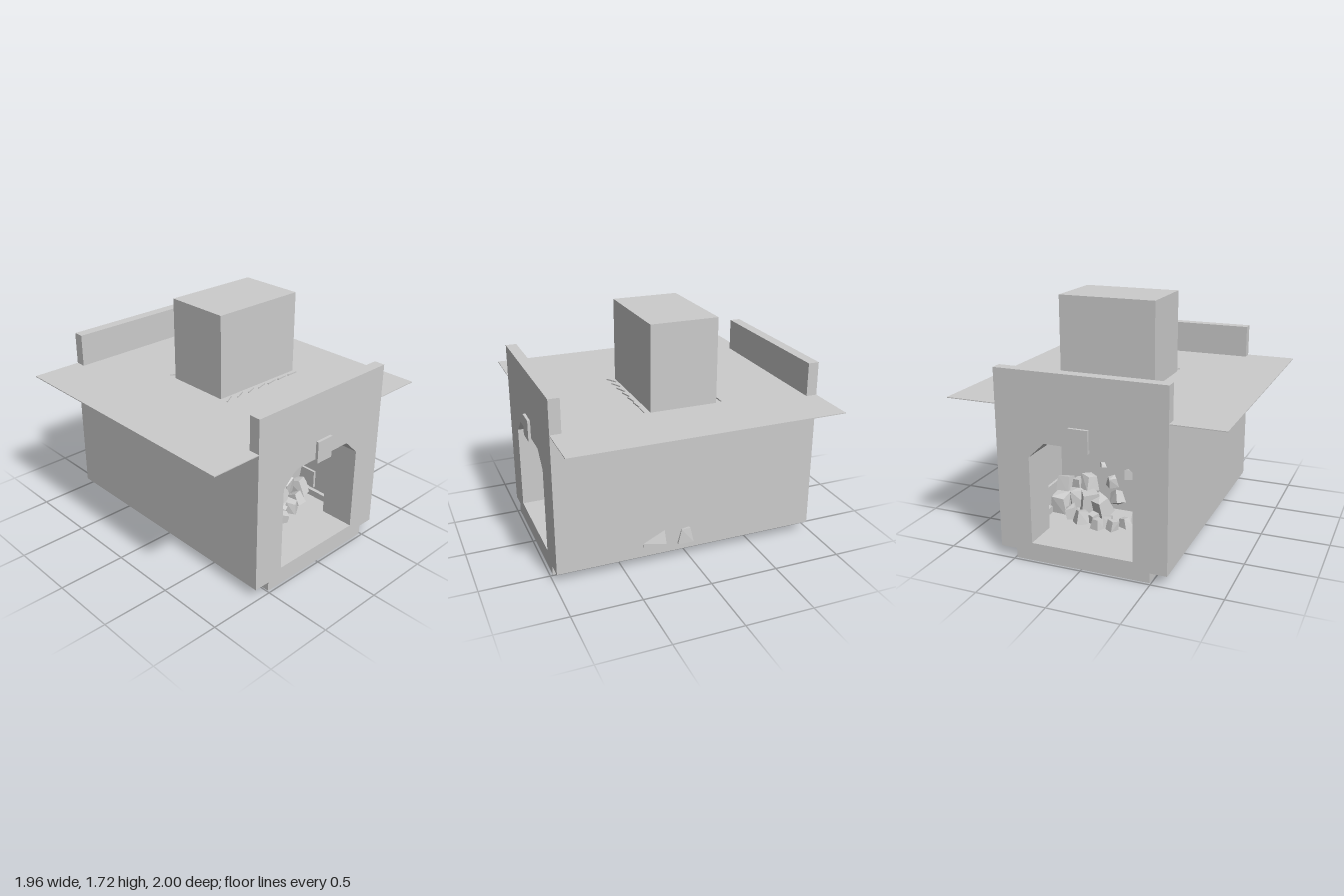
import * as THREE from 'three';
import { ConvexGeometry } from 'three/addons/geometries/ConvexGeometry.js';

export function createModel() {
  const model = new THREE.Group();
  model.name = 'gatehouse';
  const stone = new THREE.MeshStandardMaterial({ color: 0xcccccc });
  stone.name = 'plain stone';

  const add = (name, geometry, parent = model) => {
    const mesh = new THREE.Mesh(geometry, stone);
    mesh.name = name;
    parent.add(mesh);
    return mesh;
  };
  // Box from its lower and upper bounds
  const block = (name, x0, x1, y0, y1, z0, z1, parent) => {
    const mesh = add(name, new THREE.BoxGeometry(x1 - x0, y1 - y0, z1 - z0), parent);
    mesh.position.set((x0 + x1) / 2, (y0 + y1) / 2, (z0 + z1) / 2);
    return mesh;
  };
  let seed = 7;
  const rand = () => {
    seed = (seed * 16807) % 2147483647;
    return seed / 2147483647;
  };

  // Base, floor, side walls and ceiling
  block('plinth', -0.49, 0.49, 0, 0.07, -0.98, 0.98);
  block('floor', -0.61, 0.61, 0.07, 0.13, -0.9, 0.9);
  for (const s of [-1, 1]) {
    block('sideWall', s * 0.555 - 0.055, s * 0.555 + 0.055, 0.13, 1.1, -0.9, 0.9);
    block('wallLedge', s * 0.485 - 0.015, s * 0.485 + 0.015, 0.13, 0.18, -0.72, 0.72);
    for (const z of [-0.42, 0.42])
      block('wallPanel', s * 0.49 - 0.01, s * 0.49 + 0.01, 0.2, 0.34, z - 0.1, z + 0.1);
  }
  block('ceiling', -0.5, 0.5, 0.98, 1.1, -0.9, 0.9);

  // Thin overhanging roof sheet
  block('roof', -0.98, 0.98, 1.1, 1.106, -0.98, 0.98);

  // End walls with a chamfered doorway
  const doorway = [[-0.37, 0.13], [-0.37, 0.755], [-0.255, 0.865], [0.255, 0.865], [0.37, 0.755], [0.37, 0.13]];
  const wallGeometry = (w, y0, y1, depth) => {
    const shape = new THREE.Shape([[-w, y0], [w, y0], [w, y1], [-w, y1]].map(p => new THREE.Vector2(...p)));
    shape.holes.push(new THREE.Path(doorway.map(p => new THREE.Vector2(...p))));
    return new THREE.ExtrudeGeometry(shape, { depth, bevelEnabled: false });
  };
  for (const [name, turn] of [['front', 0], ['back', Math.PI]]) {
    const end = new THREE.Group();
    end.name = name + 'End';
    end.rotation.y = turn;
    add('gableWall', wallGeometry(0.61, 0.07, 1.35, 0.08), end).position.z = 0.9;
    add('doorLining', wallGeometry(0.5, 0.1, 1.0, 0.18), end).position.z = 0.72;
    block('keystone', -0.07, 0.07, 0.84, 1.0, 0.97, 1.0, end);
    model.add(end);
  }

  // Chimney with its breast, and the lintel over the side passage
  block('chimney', -0.245, 0.49, 1.1, 1.72, -0.245, 0.245);
  block('chimneyBreast', -0.15, 0.5, 0.13, 0.98, -0.25, 0.25);
  block('passageLintel', -0.5, -0.15, 0.46, 0.98, -0.25, 0.25);
  for (const s of [-1, 1]) {
    const beam = add('fallenBeam', new THREE.BoxGeometry(0.42, 0.07, 0.16));
    beam.position.set(-0.29, 0.485, s * 0.33);
    beam.rotation.set(s * -0.25, 0, -0.1);
  }

  // Fanned slats beside the chimney
  [-0.205, -0.1, 0.01, 0.115, 0.22, 0.33, 0.44].forEach((x, i) => {
    for (const s of [-1, 1]) {
      const slat = add('roofSlat', new THREE.BoxGeometry(0.09, 0.012, 0.008));
      slat.position.set(x, 1.11, s * 0.287);
      slat.rotation.y = s * 0.52 * (1 - i / 6);
    }
  });

  // Rubble: irregular stones heaped on both sides of the chimney breast
  const stoneGeometry = size => {
    const points = [];
    for (const x of [-1, 1]) for (const y of [-1, 1]) for (const z of [-1, 1]) {
      const taper = y > 0 ? 0.75 : 1;
      points.push(new THREE.Vector3(x * taper, y, z * taper)
        .multiplyScalar(size * (0.42 + 0.16 * rand())));
    }
    return new ConvexGeometry(points);
  };
  // x, y, distance from the middle, size
  const stones = [
    [-0.2, 0.18, 0.42, 0.1], [-0.12, 0.16, 0.5, 0.07], [-0.06, 0.16, 0.58, 0.07], [-0.01, 0.17, 0.55, 0.08],
    [0.05, 0.16, 0.6, 0.08], [0.12, 0.16, 0.52, 0.08], [0.2, 0.17, 0.55, 0.09], [0.3, 0.17, 0.5, 0.09],
    [0, 0.28, 0.36, 0.09], [0.06, 0.37, 0.3, 0.08], [0.1, 0.22, 0.42, 0.13], [0.2, 0.24, 0.4, 0.14],
    [0.3, 0.24, 0.38, 0.13], [0.24, 0.35, 0.32, 0.1], [0.32, 0.33, 0.33, 0.08], [0.42, 0.2, 0.42, 0.13],
    [0.43, 0.31, 0.33, 0.12], [-0.16, 0.3, 0.27, 0.05], [-0.15, 0.38, 0.27, 0.05], [0.15, 0.48, 0.27, 0.04],
  ];
  const rubble = new THREE.Group();
  rubble.name = 'rubble';
  model.add(rubble);
  for (const s of [-1, 1])
    for (const [x, y, z, size] of stones) {
      const rock = add('rubbleStone', stoneGeometry(size), rubble);
      rock.position.set(x, y, s * z);
      rock.rotation.set((rand() - 0.5) * 0.7, rand() * 3, (rand() - 0.5) * 0.7);
    }

  // Shards pushed through the left wall
  const shard = corners => add('wallShard',
    new ConvexGeometry(corners.flatMap(([x, y, z]) =>
      [new THREE.Vector3(x, y, z), new THREE.Vector3(0.58, y, z)])));
  shard([[0.615, 0.14, 0.35], [0.615, 0.175, 0.345], [0.615, 0.25, 0.19], [0.64, 0.15, 0.185]]);
  shard([[0.625, 0.12, 0.09], [0.62, 0.23, 0.06], [0.635, 0.24, 0], [0.66, 0.14, -0.015]]);

  return model;
}
